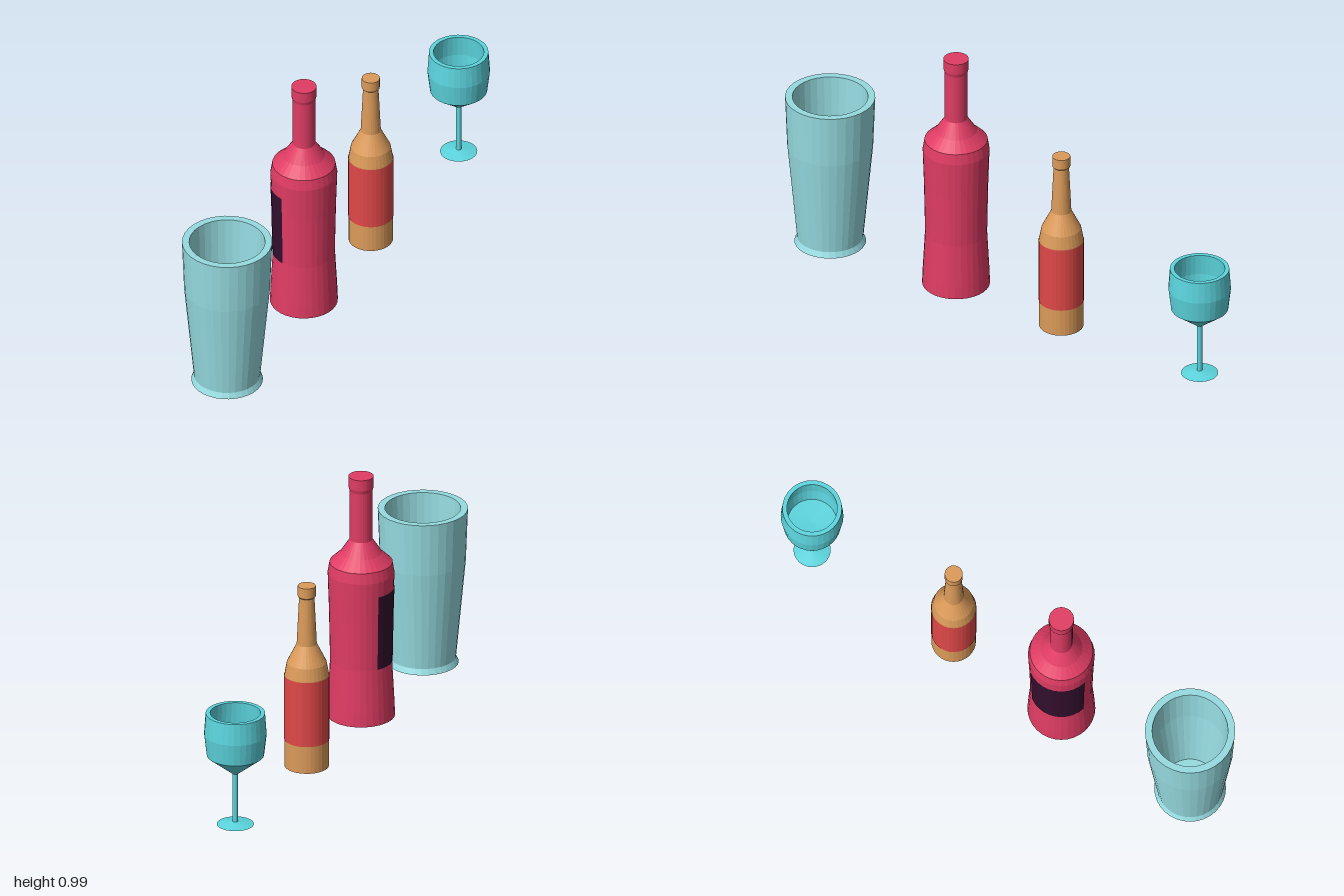
import * as THREE from 'three';

const SEGMENTS = 32;
const STEP = (Math.PI * 2) / SEGMENTS;

// Faceted turned part; profile is a list of [radius, height], running up the outside
function turned(name, color, profile, startStep = 0, steps = SEGMENTS) {
  const points = profile.map(([r, y]) => new THREE.Vector2(r, y));
  const geometry = new THREE.LatheGeometry(points, steps, startStep * STEP, steps * STEP);
  const material = new THREE.MeshStandardMaterial({ color, flatShading: true, side: THREE.DoubleSide });
  const mesh = new THREE.Mesh(geometry, material);
  mesh.name = name;
  return mesh;
}

function place(name, x, z, ...parts) {
  const group = new THREE.Group();
  group.name = name;
  group.position.set(x, 0, z);
  group.add(...parts);
  return group;
}

// Tall tumbler with a flared, recessed foot
function createTumbler() {
  return place('tumbler', 0, 0.83,
    turned('tumblerGlass', 0x96dce1, [
      [0, 0.02], [0.1, 0.02], [0.102, 0], [0.135, 0], [0.125, 0.022],
      [0.162, 0.42], [0.17, 0.63],
      [0.143, 0.63], [0.136, 0.42], [0.1, 0.045], [0, 0.045],
    ]));
}

// Large waisted bottle with a label wrapped around one side
function createLargeBottle() {
  const waist = [[0.117, 0.24], [0.118, 0.3], [0.121, 0.45], [0.124, 0.54]];
  const label = waist.map(([r, y]) => [r + 0.002, y]);
  return place('largeBottle', -0.01, 0.252,
    turned('largeBottleBody', 0xe03c64, [
      [0, 0.015], [0.128, 0.015], [0.126, 0.07], ...waist,
      [0.126, 0.6], [0.119, 0.642], [0.079, 0.68], [0.043, 0.735],
      [0.043, 0.935], [0.0475, 0.95], [0.0475, 0.993], [0, 0.993],
    ]),
    turned('largeBottleLabel', 0x320f2d, label, -11, 10));
}

// Small bottle with a band label all round
function createSmallBottle() {
  return place('smallBottle', -0.01, -0.237,
    turned('smallBottleBody', 0xdc9b5a, [
      [0, 0], [0.084, 0], [0.084, 0.375], [0.075, 0.425], [0.055, 0.465],
      [0.038, 0.5], [0.029, 0.69], [0.034, 0.695], [0.034, 0.737], [0, 0.737],
    ]),
    turned('smallBottleLabel', 0xe04848, [[0.0855, 0.11], [0.0855, 0.373]]));
}

// Stemmed goblet
function createGoblet() {
  const color = 0x5cd5de;
  return place('goblet', -0.01, -0.88,
    turned('gobletBowl', color, [
      [0, 0.222], [0.012, 0.222], [0.108, 0.298], [0.118, 0.385], [0.112, 0.47],
      [0.095, 0.47], [0.101, 0.385], [0.094, 0.31], [0, 0.305],
    ]),
    turned('gobletStem', color, [[0.01, 0.02], [0.01, 0.225]]),
    turned('gobletFoot', color, [[0, 0.014], [0.07, 0.014], [0.011, 0.025], [0, 0.025]]));
}

export function createModel() {
  const model = new THREE.Group();
  model.name = 'bottlesAndGlasses';
  model.add(createTumbler(), createLargeBottle(), createSmallBottle(), createGoblet());
  return model;
}
